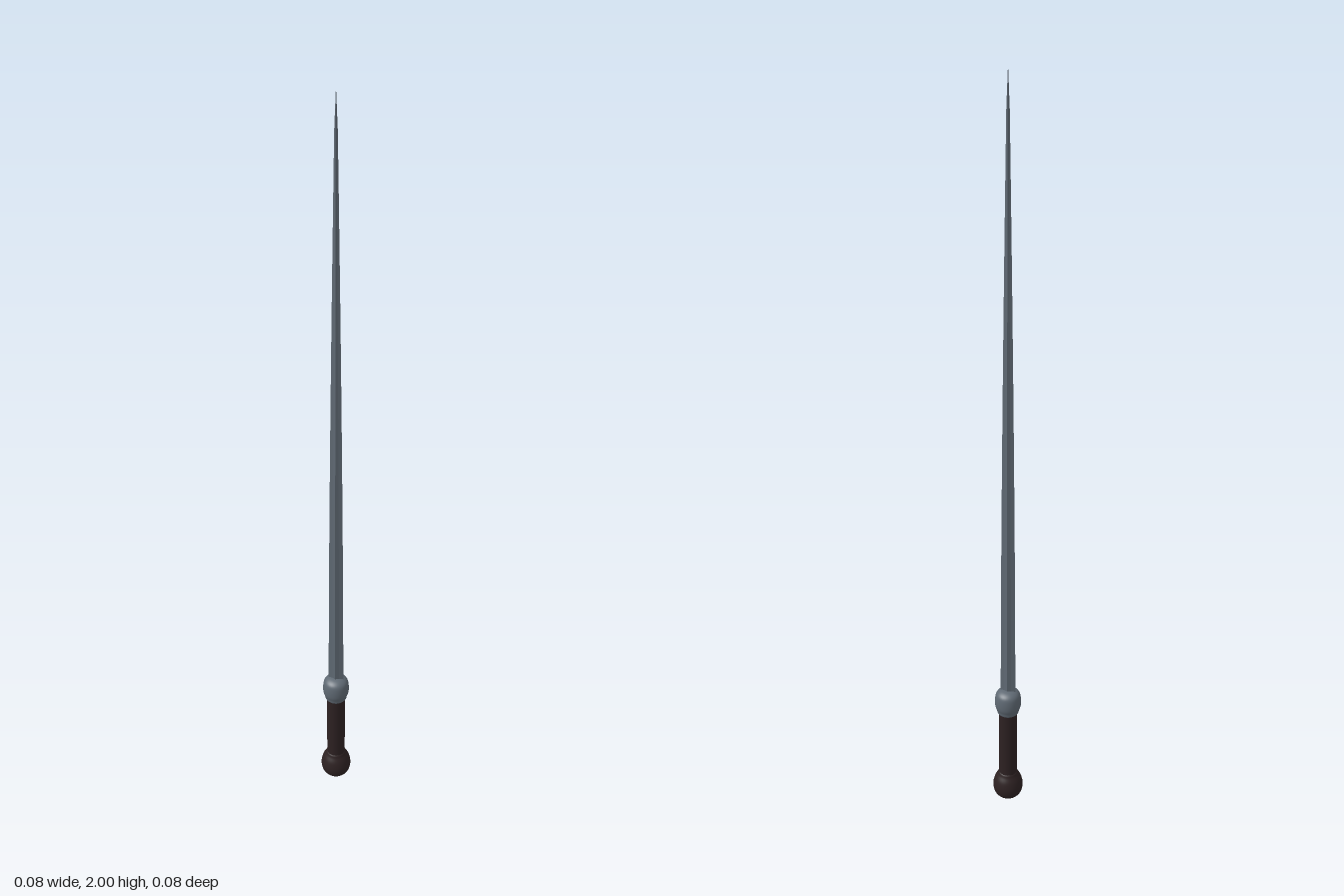
import * as THREE from 'three';

const steel = new THREE.MeshStandardMaterial({ color: 0x5f6973 });
steel.name = 'steel';
const darkWood = new THREE.MeshStandardMaterial({ color: 0x2d2122 });
darkWood.name = 'darkWood';

// Turned part from [radius, height] pairs, smoothed by a spline
function turned(name, points, material) {
  const curve = new THREE.SplineCurve(points.map(([r, y]) => new THREE.Vector2(r, y)));
  const profile = curve.getPoints(points.length * 4).map((p) => new THREE.Vector2(Math.max(p.x, 0), p.y));
  const mesh = new THREE.Mesh(new THREE.LatheGeometry(profile, 32), material);
  mesh.name = name;
  return mesh;
}

// Flat-faced, slightly hollow diamond section, narrowing faster towards the point
function makeBlade(base, tip) {
  const length = tip - base;
  let geo = new THREE.CylinderGeometry(1, 1, length, 8, 20);
  geo.translate(0, (base + tip) / 2, 0);
  const pos = geo.attributes.position;
  for (let i = 0; i < pos.count; i++) {
    const x = pos.getX(i), y = pos.getY(i), z = pos.getZ(i);
    const t = THREE.MathUtils.clamp((y - base) / length, 0, 1);
    const point = t > 0.99 ? 0.2 : 1;
    const hollow = Math.abs(x * z) > 0.1 ? 0.65 : 1;
    const halfWidth = 0.02 * (1 - 0.87 * t ** 1.5) * point;
    const halfDepth = 0.0085 * (1 - 0.6 * t ** 1.5) * point;
    pos.setXYZ(i, x * halfWidth * hollow, y, z * halfDepth * hollow);
  }
  geo = geo.toNonIndexed();
  geo.computeVertexNormals();
  const mesh = new THREE.Mesh(geo, steel);
  mesh.name = 'blade';
  return mesh;
}

export function createModel() {
  const sword = new THREE.Group();
  sword.name = 'sword';

  // Handle
  sword.add(turned('pommel', [
    [0, 0], [0.02, 0.005], [0.035, 0.02], [0.04, 0.042],
    [0.036, 0.064], [0.028, 0.08], [0.022, 0.09], [0, 0.092],
  ], darkWood));
  const grip = new THREE.Mesh(new THREE.CylinderGeometry(0.024, 0.024, 0.21, 24), darkWood);
  grip.name = 'grip';
  grip.position.y = 0.19;
  sword.add(grip);

  // Steel collar with a domed top, between the grip and the blade
  sword.add(turned('collar', [
    [0, 0.288], [0.025, 0.289], [0.03, 0.301], [0.034, 0.315],
    [0.034, 0.335], [0.03, 0.351], [0.018, 0.36], [0, 0.363],
  ], steel));

  sword.add(makeBlade(0.34, 2));
  return sword;
}
